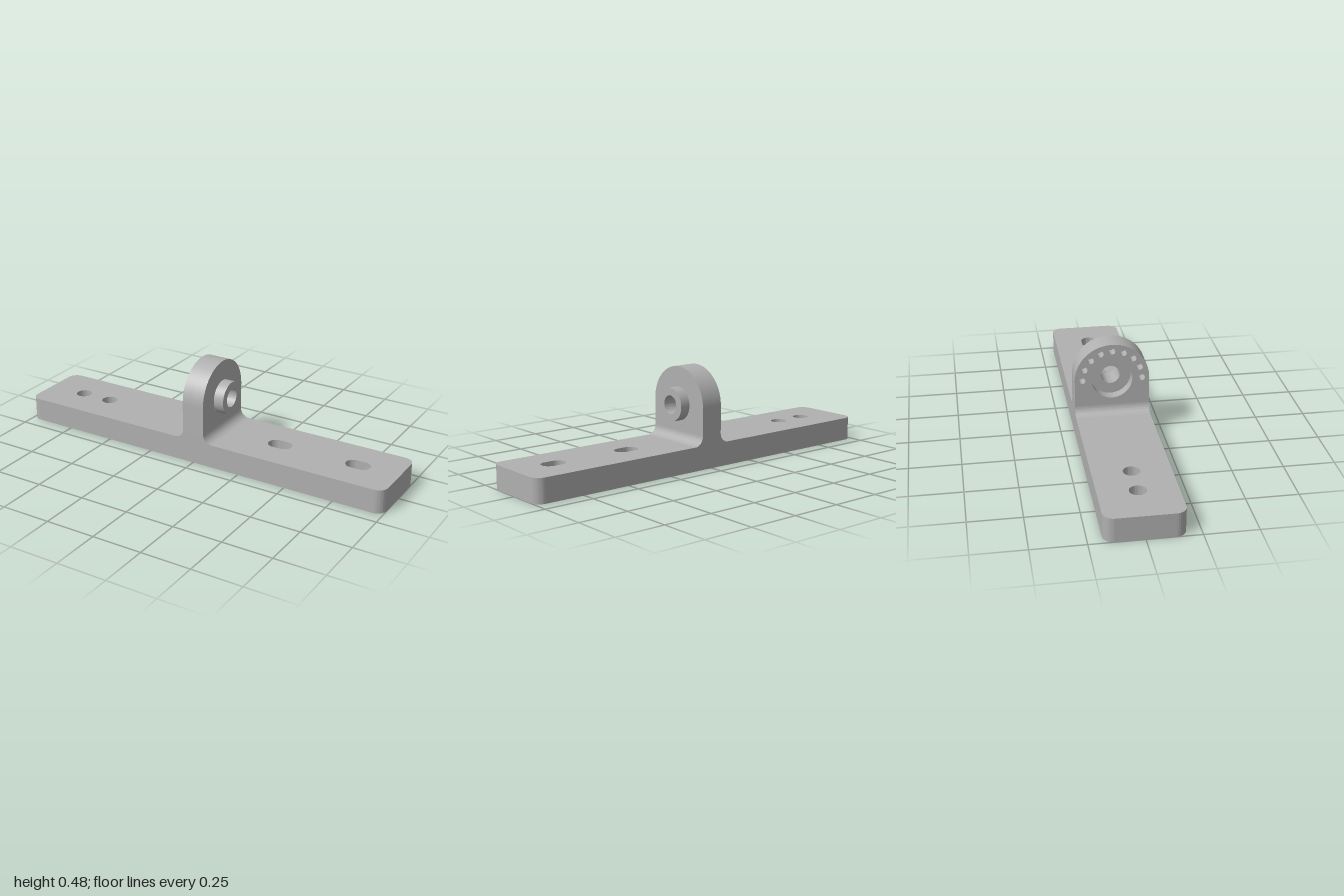
import * as THREE from 'three';
import { toCreasedNormals } from 'three/addons/utils/BufferGeometryUtils.js';

const HALF_DEPTH = 0.183, BASE_TOP = 0.118, AXIS_Y = 0.3;
const LUG_HALF = 0.057, STEP_X = -0.004, BOSS_END = 0.109;

// Slot outline; a zero half length between centres gives a round hole
function slot(x, y, r, half = 0) {
  const p = new THREE.Path();
  if (half === 0) p.absarc(x, y, r, 0, Math.PI * 2);
  else {
    p.absarc(x + half, y, r, -Math.PI / 2, Math.PI / 2);
    p.absarc(x - half, y, r, Math.PI / 2, Math.PI * 1.5);
    p.closePath();
  }
  return p;
}

function extrude(shape, depth) {
  return new THREE.ExtrudeGeometry(shape, { depth, bevelEnabled: false, curveSegments: 24 });
}

// Extrude a (z, y) outline along x between two positions
function extrudeX(shape, x0, x1) {
  return extrude(shape, x1 - x0).rotateY(Math.PI / 2).translate(x0, 0, 0);
}

function lugOutline() {
  const s = new THREE.Shape();
  s.moveTo(-HALF_DEPTH, BASE_TOP);
  s.lineTo(HALF_DEPTH, BASE_TOP);
  s.lineTo(HALF_DEPTH, AXIS_Y);
  s.absarc(0, AXIS_Y, HALF_DEPTH, 0, Math.PI);
  s.closePath();
  return s;
}

export function createModel() {
  const group = new THREE.Group();
  const metal = new THREE.MeshStandardMaterial({ color: 0xb0b0b0 });
  metal.name = 'grey metal';
  const add = (name, geometry) => {
    const mesh = new THREE.Mesh(toCreasedNormals(geometry, 0.5), metal);
    mesh.name = name;
    group.add(mesh);
  };

  // Base bar with rounded corners, two round holes and two slots
  const r = 0.05, d = HALF_DEPTH, base = new THREE.Shape();
  base.absarc(1 - r, d - r, r, 0, Math.PI / 2);
  base.absarc(-1 + r, d - r, r, Math.PI / 2, Math.PI);
  base.absarc(-1 + r, -d + r, r, Math.PI, Math.PI * 1.5);
  base.absarc(1 - r, -d + r, r, Math.PI * 1.5, Math.PI * 2);
  base.closePath();
  base.holes.push(slot(-0.793, 0, 0.04), slot(-0.628, 0, 0.04));
  base.holes.push(slot(0.38, 0, 0.04, 0.021), slot(0.79, 0, 0.04, 0.021));
  add('baseBar', extrude(base, BASE_TOP).rotateX(-Math.PI / 2));

  // Lug half with the counterbore and an arc of blind index holes
  const indexed = lugOutline();
  indexed.holes.push(slot(0, AXIS_Y, 0.1));
  for (let i = 0; i <= 8; i++) {
    const a = (i * Math.PI) / 8;
    indexed.holes.push(slot(0.147 * Math.cos(a), AXIS_Y + 0.147 * Math.sin(a), 0.016));
  }
  add('lugIndexedHalf', extrudeX(indexed, -LUG_HALF, STEP_X));

  // Lug half with the narrow bore
  const plain = lugOutline();
  plain.holes.push(slot(0, AXIS_Y, 0.046));
  add('lugBoredHalf', extrudeX(plain, STEP_X, LUG_HALF));

  // Boss ring around the bore
  const ring = new THREE.Shape().absarc(0, AXIS_Y, 0.083, 0, Math.PI * 2);
  ring.holes.push(slot(0, AXIS_Y, 0.046));
  add('boss', extrudeX(ring, LUG_HALF, BOSS_END));

  // Concave fillets joining the lug to the base
  const f = 0.047;
  for (const side of [-1, 1]) {
    const s = new THREE.Shape();
    const cx = side * (LUG_HALF + f), cy = BASE_TOP + f;
    s.moveTo(side * LUG_HALF, BASE_TOP);
    s.lineTo(cx, BASE_TOP);
    s.absarc(cx, cy, f, -Math.PI / 2, side > 0 ? -Math.PI : 0, side > 0);
    s.closePath();
    add(side > 0 ? 'leftFillet' : 'rightFillet', extrude(s, 2 * d).translate(0, 0, -d));
  }
  return group;
}
